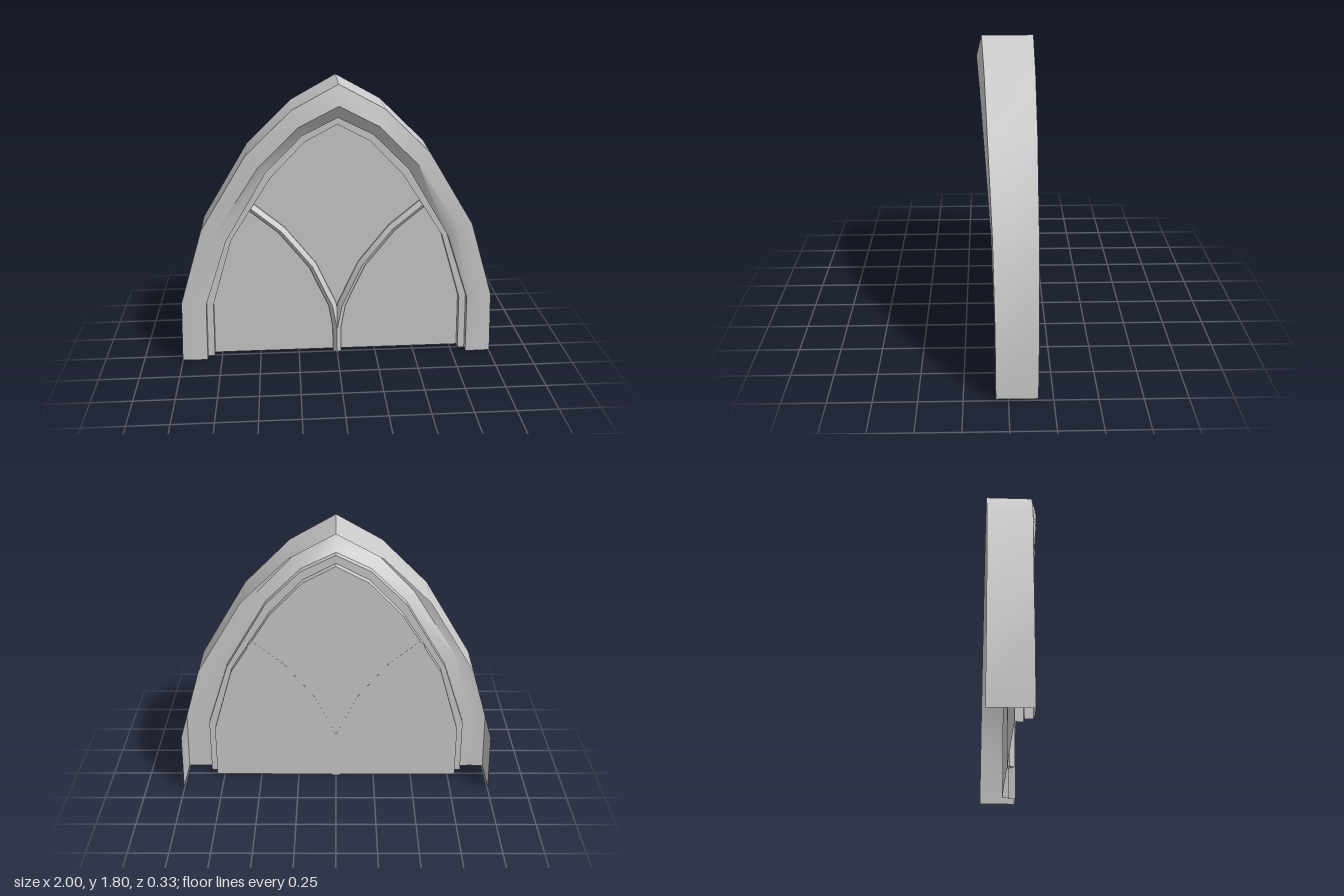
import * as THREE from 'three';
import { toCreasedNormals } from 'three/addons/utils/BufferGeometryUtils.js';

const material = new THREE.MeshStandardMaterial({ color: 0xcccccc, side: THREE.DoubleSide });

// Skin a surface over rows of equally many points
function loft(rows, crease = 0.7) {
  const n = rows[0].length;
  const index = [];
  for (let r = 0; r < rows.length - 1; r++) {
    for (let c = 0; c < n - 1; c++) {
      const a = r * n + c, b = a + 1, d = a + n, e = d + 1;
      index.push(a, b, d, b, e, d);
    }
  }
  const geometry = new THREE.BufferGeometry();
  geometry.setAttribute('position', new THREE.Float32BufferAttribute(rows.flat(2), 3));
  geometry.setIndex(index);
  return toCreasedNormals(geometry, crease);
}

// Half contours of the pointed arch, from foot to apex
const outer = [[1, 0.01], [0.98, 0.42], [0.83, 0.91], [0.545, 1.38], [0.27, 1.65], [0, 1.8]];
const ridge = [[0.91, 0.01], [0.89, 0.42], [0.75, 0.88], [0.475, 1.31], [0.235, 1.555], [0, 1.68]];
const inner = [[0.84, 0.01], [0.828, 0.4], [0.685, 0.83], [0.425, 1.27], [0.21, 1.485], [0, 1.59]];
const sight = [[0.797, 0.01], [0.787, 0.38], [0.655, 0.82], [0.4, 1.22], [0.195, 1.435], [0, 1.54]];

// Mirror a half contour into a full arch; z is one depth or a depth per point
function arch(half, z) {
  const right = half.map(([x, y], i) => [x, y, Array.isArray(z) ? z[i] : z]);
  const left = right.slice(0, -1).reverse().map(([x, y, d]) => [-x, y, d]);
  return [...right, ...left];
}

const paneZ = -0.02;
const stepZ = 0.025;
const faceZ = 0.07;

// Ridged glazing bar following a path in the XY plane
function barGeometry(path) {
  const half = 0.026;
  const section = [[-half, -0.021], [-half, -0.008], [0, 0.022], [half, -0.008], [half, -0.021], [-half, -0.021]];
  const rows = path.map(([x, y], i) => {
    const p = path[Math.max(i - 1, 0)], q = path[Math.min(i + 1, path.length - 1)];
    const length = Math.hypot(q[0] - p[0], q[1] - p[1]);
    const nx = (q[1] - p[1]) / length, ny = -(q[0] - p[0]) / length;
    return section.map(([s, z]) => [x + nx * s, y + ny * s, z]);
  });
  // End caps: collapse the section to its centre
  const cap = (row, [x, y]) => row.map(() => [x, y, -0.008]);
  return loft([cap(rows[0], path[0]), ...rows, cap(rows.at(-1), path.at(-1))], 0.4);
}

export function createModel() {
  const group = new THREE.Group();
  const add = (name, geometry) => {
    const mesh = new THREE.Mesh(geometry, material);
    mesh.name = name;
    group.add(mesh);
  };

  // Hollow hood: outer wall, then a face that swells forward to the apex
  const outerZ = [0.07, 0.072, 0.082, 0.105, 0.12, 0.135];
  const ridgeZ = [0.073, 0.075, 0.09, 0.125, 0.148, 0.165];
  const outerFront = arch(outer, outerZ);
  add('outerWall', loft([arch(outer, -0.165), outerFront]));
  add('archFace', loft([outerFront, arch(ridge, ridgeZ), arch(inner, faceZ)]));

  // Stepped reveal down to the pane
  add('reveal', loft([
    arch(inner, faceZ), arch(inner, stepZ), arch(sight, stepZ), arch(sight, paneZ),
  ]));

  // Flat window pane
  const shape = new THREE.Shape(arch(sight, 0).map(([x, y]) => new THREE.Vector2(x, y)));
  add('pane', new THREE.ShapeGeometry(shape).translate(0, 0, paneZ));

  // Two mirrored bars that share a stem and branch into a Y
  const branch = [[0, 0], [0.002, 0.18], [0.03, 0.34], [0.155, 0.62], [0.345, 0.865], [0.53, 1.022]];
  add('leftGlazingBar', barGeometry(branch));
  add('rightGlazingBar', barGeometry(branch.map(([x, y]) => [-x, y])));

  return group;
}
